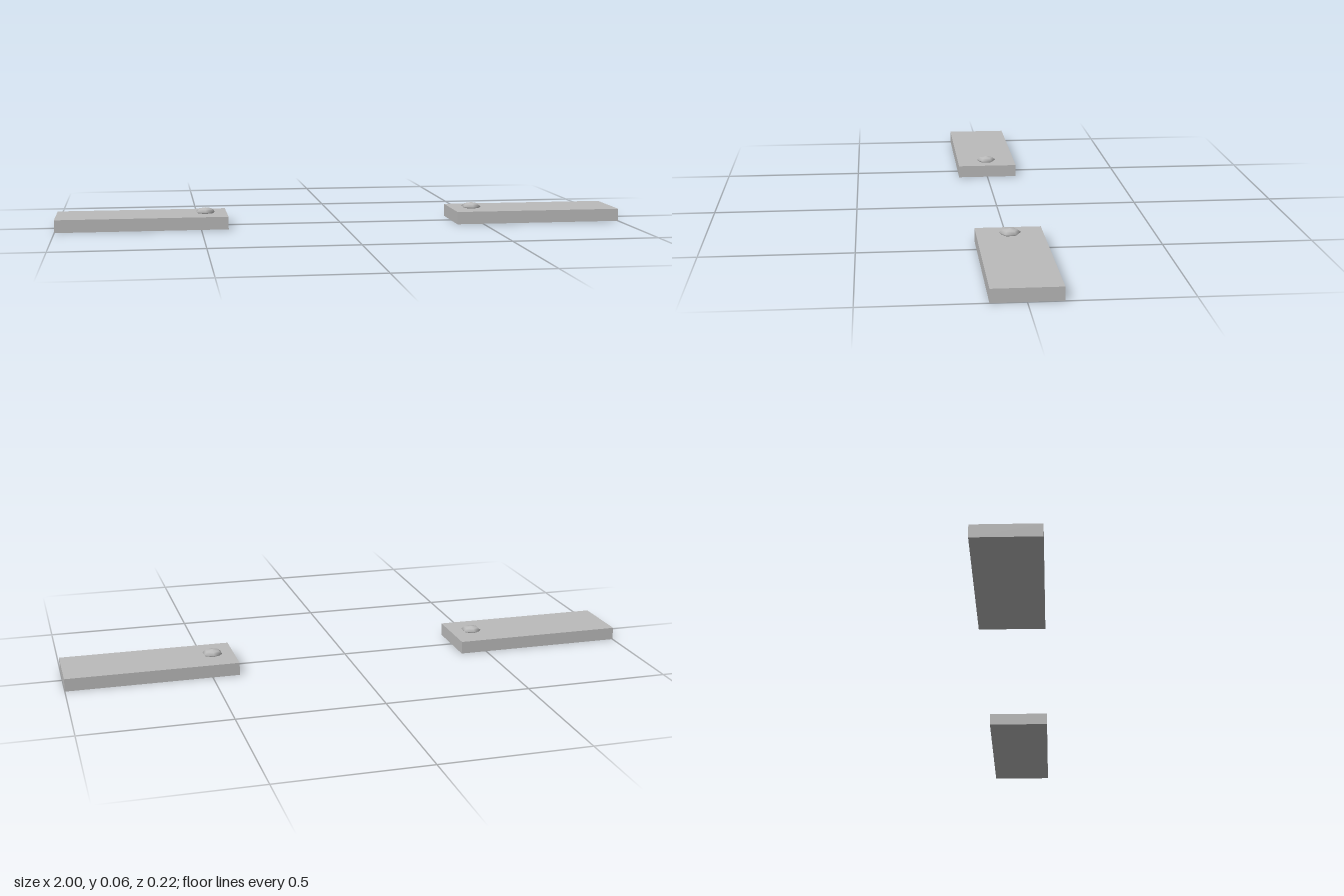
import * as THREE from 'three';

export function createModel() {
  const model = new THREE.Group();
  const steel = new THREE.MeshStandardMaterial({ color: 0xbbbbbb });
  steel.name = 'light grey metal';

  // Flat bar resting on the ground
  const plateGeometry = new THREE.BoxGeometry(0.594, 0.044, 0.22);

  // Shallow six-sided domed bolt head, corners towards +z and -z
  const boltProfile = [
    [0.028, 0.043], [0.036, 0.05], [0.025, 0.059], [0, 0.064],
  ].map(([r, y]) => new THREE.Vector2(r, y));
  const boltGeometry = new THREE.LatheGeometry(boltProfile, 6);

  // One bar on each side, with its bolt near the inner end
  for (const [side, label] of [[1, 'left'], [-1, 'right']]) {
    const bar = new THREE.Group();
    bar.name = `${label}Bar`;

    const plate = new THREE.Mesh(plateGeometry, steel);
    plate.name = `${label}Plate`;
    plate.position.set(side * 0.703, 0.022, 0);

    const bolt = new THREE.Mesh(boltGeometry, steel);
    bolt.name = `${label}BoltHead`;
    bolt.position.x = side * 0.481;

    bar.add(plate, bolt);
    model.add(bar);
  }
  return model;
}
